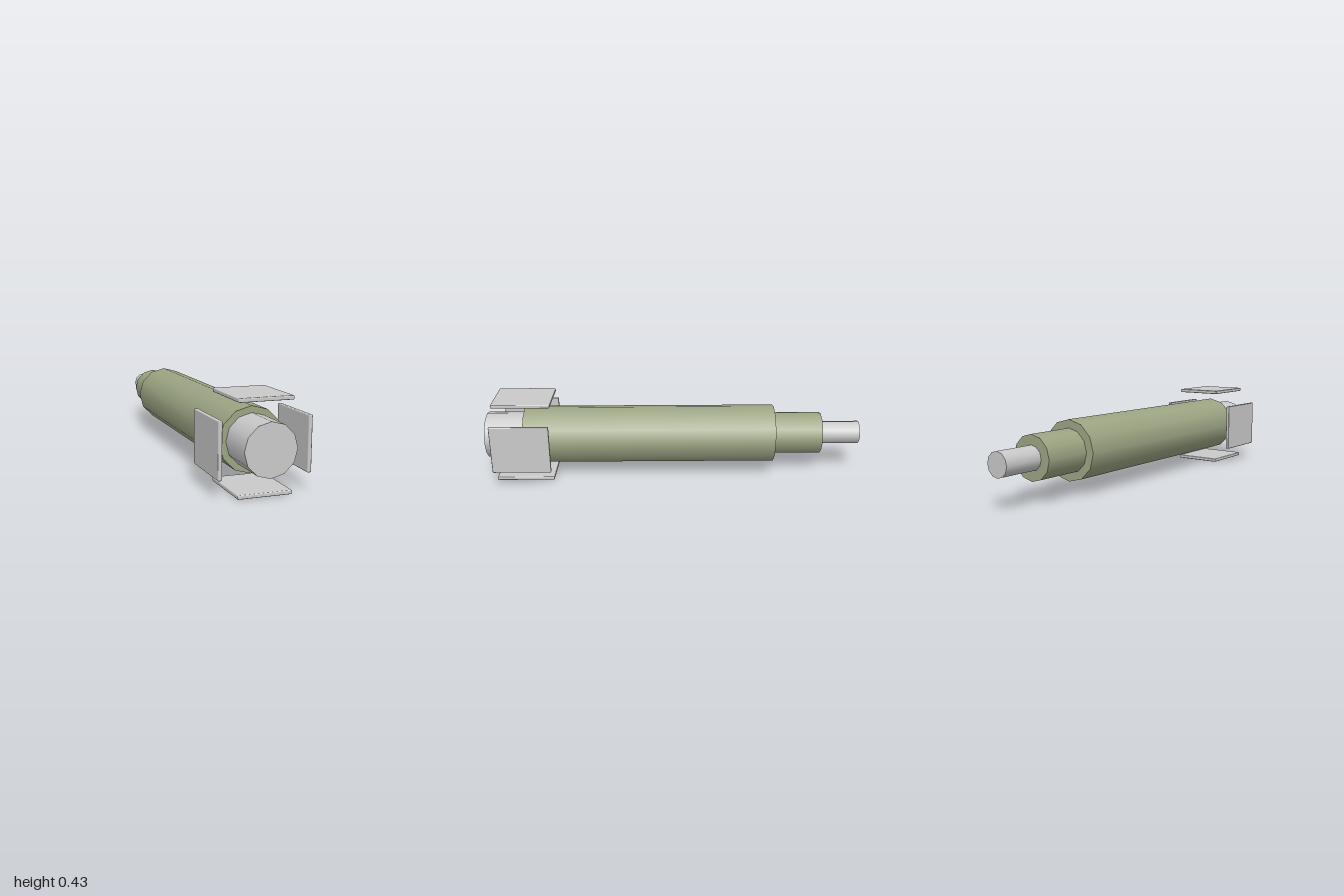
import * as THREE from 'three';
import { RoundedBoxGeometry } from 'three/addons/geometries/RoundedBoxGeometry.js';

const AXIS_Y = 0.2165; // height of the tube axis

export function createModel() {
  const model = new THREE.Group();
  model.name = 'finnedTube';

  const olive = new THREE.MeshStandardMaterial({ color: 0x9ca583 });
  olive.name = 'olive';
  const grey = new THREE.MeshStandardMaterial({ color: 0xcacaca });
  grey.name = 'light grey';

  // Twelve-sided cylinder lying along z
  function addTube(name, radius, zBack, zFront, material) {
    const geometry = new THREE.CylinderGeometry(radius, radius, zFront - zBack, 12);
    geometry.rotateX(Math.PI / 2);
    const mesh = new THREE.Mesh(geometry, material);
    mesh.name = name;
    mesh.position.set(0, AXIS_Y, (zBack + zFront) / 2);
    model.add(mesh);
  }

  // Stepped body, from nose to tail
  addTube('frontCap', 0.122, 0.79, 1, grey);
  addTube('mainBody', 0.153, -0.535, 0.795, olive);
  addTube('rearSleeve', 0.111, -0.79, -0.53, olive);
  addTube('rearRod', 0.061, -1, -0.785, grey);

  // Four thin plates with softened edges, set around the front
  const plateGeometry = new RoundedBoxGeometry(0.255, 0.019, 0.305, 2, 0.005);
  plateGeometry.translate(0, 0.207, 0);
  ['topPlate', 'leftPlate', 'bottomPlate', 'rightPlate'].forEach((name, i) => {
    const plate = new THREE.Mesh(plateGeometry, grey);
    plate.name = name;
    plate.position.set(0, AXIS_Y, 0.797);
    plate.rotation.z = -i * Math.PI / 2;
    model.add(plate);
  });

  return model;
}
